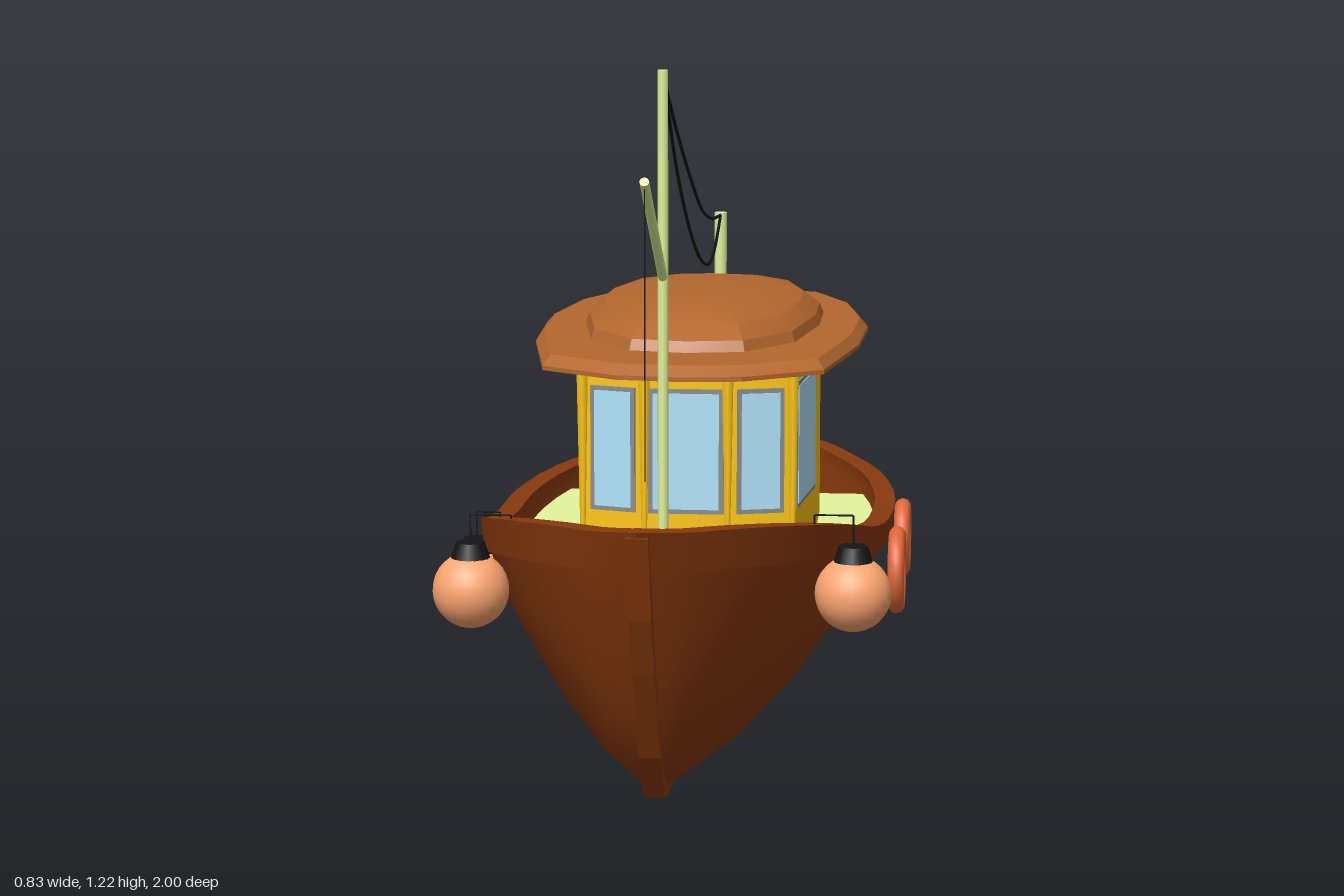
import * as THREE from 'three';
import { toCreasedNormals } from 'three/addons/utils/BufferGeometryUtils.js';

const V = (x, y, z) => new THREE.Vector3(x, y, z);
const BROWN = 0x8a3a0e, GREEN = 0xe4f59c, YELLOW = 0xffc814, ROOF = 0xb4682f;
const OLIVE = 0xa2a23c, GLASS = 0xb2e4fa, FRAME = 0x8a8f8c, BLACK = 0x151515;

// Skin over closed rings, with optional fans closing the first and last ring
function loft(rings, capStart, capEnd, crease = 0.6) {
  const n = rings[0].length, pos = rings.flat().flatMap(p => [p.x, p.y, p.z]), idx = [];
  for (let r = 0; r < rings.length - 1; r++) {
    for (let j = 0; j < n; j++) {
      const k = (j + 1) % n, a = r * n, b = a + n;
      idx.push(a + j, b + j, a + k, b + j, b + k, a + k);
    }
  }
  const cap = (r, top) => {
    const c = rings[r].reduce((s, p) => s.add(p), V(0, 0, 0)).divideScalar(n);
    const ci = pos.length / 3;
    pos.push(c.x, c.y, c.z);
    for (let j = 0; j < n; j++) {
      const k = (j + 1) % n;
      if (top) idx.push(ci, r * n + k, r * n + j);
      else idx.push(ci, r * n + j, r * n + k);
    }
  };
  if (capStart) cap(0, false);
  if (capEnd) cap(rings.length - 1, true);
  const g = new THREE.BufferGeometry();
  g.setAttribute('position', new THREE.Float32BufferAttribute(pos, 3));
  g.setIndex(idx);
  return toCreasedNormals(g, crease);
}

// Complete a right-hand outline (stern to bow) with its mirror image
const mirrored = half => half.concat(
  half.filter(p => Math.abs(p[0]) > 1e-4).reverse().map(([x, z]) => [-x, z]));

// Rail line: half width, height, z from stern to bow
const rail = new THREE.CatmullRomCurve3([
  V(0, .33, -1), V(.105, .328, -.97), V(.195, .325, -.88), V(.255, .325, -.75), V(.32, .33, -.55),
  V(.36, .337, -.28), V(.36, .35, 0), V(.345, .39, .27), V(.315, .445, .52), V(.252, .484, .72),
  V(.157, .508, .87), V(.07, .518, .96), V(0, .525, 1)]);
const N = 30, KEEL_Y = .02, DECK_Y = .288;
const half = Array.from({ length: N + 1 }, (_, i) => {
  const p = rail.getPoint(i / N), t = rail.getTangent(i / N);
  const len = Math.hypot(t.x, t.z);
  const end = i === 0 ? -1 : i === N ? 1 : 0;
  return { p, nx: end ? 0 : t.z / len, nz: end || -t.x / len, side: 1 };
});
const stations = half.concat(half.slice(1, N).reverse().map(s => ({ ...s, side: -1 })));

// Half width of a hull section against height, both 0..1
const SECTION = [[0, 0], [.03, .28], [.12, .47], [.3, .66], [.48, .79], [.66, .91], [.86, .985], [1, 1]];
function fullness(v) {
  const i = Math.max(1, SECTION.findIndex(s => s[0] >= v - 1e-6));
  const [a, b] = [SECTION[i - 1], SECTION[i]];
  return a[1] + (b[1] - a[1]) * (v - a[0]) / (b[0] - a[0]);
}
// The stem rakes forward; the bow is fuller away from the centre line
function hullPoint({ p, nx, nz, side }, v, inset) {
  const keelZ = p.z * .71, rake = .7 - .25 * Math.min(1, p.x / .15);
  const g = Math.pow(v, p.z > 0 ? rake : .35);
  const x = Math.max(0, p.x * fullness(v) - nx * inset);
  return V(side * x, KEEL_Y + (p.y - KEEL_Y) * v, keelZ + (p.z - keelZ) * g - nz * inset);
}
const ringAt = (v, inset) => stations.map(s => hullPoint(s, v, inset));
const ringAtY = (y, inset) => stations.map(s => hullPoint(s, (y - KEEL_Y) / (s.p.y - KEEL_Y), inset));

export function createModel() {
  const model = new THREE.Group();
  model.name = 'boat';
  const body = new THREE.Group();
  body.name = 'boatBody';
  body.position.x = .02;
  model.add(body);

  const add = (name, geo, color, parent = body) => {
    const mesh = new THREE.Mesh(geo, new THREE.MeshStandardMaterial({ color }));
    mesh.name = name;
    parent.add(mesh);
    return mesh;
  };
  const box = (name, w, h, d, x, y, z, color, parent) => {
    add(name, new THREE.BoxGeometry(w, h, d), color, parent).position.set(x, y, z);
  };
  const rod = (name, a, b, r, color, sides = 8) => {
    const m = add(name, new THREE.CylinderGeometry(r, r, a.distanceTo(b), sides), color);
    m.position.copy(a).lerp(b, .5);
    m.quaternion.setFromUnitVectors(V(0, 1, 0), b.clone().sub(a).normalize());
  };

  // Hull: outer planking, raised rail strake, then the inside of the bulwark
  add('hull', loft([
    ...SECTION.slice(0, 7).map(s => ringAt(s[0], .01)),
    ringAt(.86, 0), ringAt(1, 0), ringAt(1, .038),
    ringAtY(DECK_Y, .03), ringAtY(.17, .025)]), BROWN);

  // Stem and keel strip
  const keel = new THREE.Shape([
    [1, .515], [.948, .37], [.897, .27], [.8, .105], [.72, .015], [.6, 0], [-.7, 0], [-.9, .1],
    [-.966, .24], [-.94, .24], [-.86, .1], [-.7, .035], [.66, .035], [.76, .13], [.85, .27],
    [.92, .4], [.97, .515]].map(p => new THREE.Vector2(...p)));
  add('keel', new THREE.ExtrudeGeometry(keel, { depth: .036, bevelEnabled: false })
    .rotateY(-Math.PI / 2).translate(.018, 0, 0), BROWN);

  // Decks: low well at the stern, raised main deck ahead of it
  add('sternDeck', loft([ringAtY(.172, .022), ringAtY(.185, .022)], false, true), GREEN);
  const clampZ = ring => ring.map(p => V(p.x, p.y, THREE.MathUtils.clamp(p.z, -.525, .87)));
  add('mainDeck', loft([clampZ(ringAtY(.18, .024)), clampZ(ringAtY(DECK_Y, .027))], false, true), GREEN);
  box('upperStep', .16, .12, .09, 0, .235, -.64, OLIVE);
  box('lowerStep', .18, .06, .14, 0, .205, -.66, OLIVE);

  // Cabin walls
  const cabin = new THREE.Group();
  cabin.name = 'cabin';
  body.add(cabin);
  const wall = [[.09, -.595], [.185, -.525], [.213, -.35], [.216, -.15], [.19, .108], [.075, .142]];
  const outline = (pts, y, s = 1, cz = -.2) => mirrored(pts).map(([x, z]) => V(x * s, y, cz + (z - cz) * s));
  add('cabinWalls', loft([outline(wall, .18), outline(wall, .66)], false, true, .3), YELLOW, cabin);

  // Windows set on the flat wall panels between two outline points
  const pane = (name, a, b, share, y0, y1) => {
    const g = new THREE.Group();
    g.name = name;
    const dx = b[0] - a[0], dz = b[1] - a[1], w = Math.hypot(dx, dz) * share, h = y1 - y0;
    g.position.set((a[0] + b[0]) / 2, (y0 + y1) / 2, (a[1] + b[1]) / 2);
    g.rotation.y = Math.atan2(dz, -dx);
    box('frame', w, h, .008, 0, 0, 0, FRAME, g);
    box('glass', w - .016, h - .016, .011, 0, 0, 0, GLASS, g);
    cabin.add(g);
  };
  const flip = ([x, z]) => [-x, z];
  pane('frontWindow', wall[5], flip(wall[5]), .9, .38, .607);
  pane('leftFrontWindow', wall[4], wall[5], .72, .38, .607);
  pane('rightFrontWindow', flip(wall[5]), flip(wall[4]), .72, .38, .607);
  pane('leftSideWindow', wall[3], wall[4], .79, .38, .612);
  pane('rightSideWindow', flip(wall[4]), flip(wall[3]), .79, .38, .612);

  // Slim posts between the front windows, wider at the top
  for (const s of [-1, 1]) {
    for (const [x, z] of [wall[4], wall[5]]) {
      const post = add('windowPost', new THREE.CylinderGeometry(.012, .005, .34, 6), YELLOW, cabin);
      post.position.set(s * x, .485, z);
    }
  }

  // Door at the back of the cabin
  box('doorFrame', .13, .325, .012, 0, .46, -.596, FRAME, cabin);
  box('doorPanel', .11, .14, .016, 0, .375, -.597, 0xc8b698, cabin);
  box('doorGlass', .11, .155, .016, 0, .535, -.597, GLASS, cabin);

  // Roof: eave plate with a low crown on top
  const eave = [[0, -.69], [.09, -.685], [.2, -.645], [.27, -.5], [.305, -.3], [.298, -.08],
    [.25, .205], [.11, .295], [0, .308]];
  add('roofEaves', loft([outline(eave, .648), outline(eave, .656), outline(eave, .673, .95)],
    true, true, .4), ROOF);
  const crown = [[0, -.61], [.09, -.595], [.165, -.52], [.21, -.36], [.212, -.2], [.18, .0],
    [.1, .115], [0, .135]];
  add('roofCrown', loft([outline(crown, .67, 1.04), outline(crown, .692), outline(crown, .717, .86),
    outline(crown, .735, .56)], false, true, .35), ROOF);

  // Mast, boom, aft post and sagging lines
  rod('mast', V(0, .28, .565), V(0, 1.215, .565), .009, GREEN);
  rod('boom', V(0, .87, .57), V(0, 1.065, .87), .008, GREEN);
  rod('aftPost', V(0, .66, -.615), V(0, .83, -.615), .012, GREEN);
  rod('boomLine', V(0, .58, .865), V(0, 1.06, .865), .001, BLACK, 4);
  const sags = [
    [[.56, 1.205], [.3, 1.08], [0, .955], [-.2, .885], [-.4, .845], [-.61, .825]],
    [[.56, 1.205], [.3, 1.01], [0, .855], [-.25, .778], [-.4, .765], [-.5, .785], [-.61, .825]]];
  for (const pts of sags) {
    const path = new THREE.CatmullRomCurve3(pts.map(([z, y]) => V(0, y, z)));
    add('rigging', new THREE.TubeGeometry(path, 24, .003, 5), BLACK);
  }

  // Ball fenders with dark caps, each tied in to the rail
  for (const [x, y, z, top, inX] of [
    [-.308, .36, .7, .487, -.24], [.325, .355, .65, .487, .26], [-.373, .257, .185, .385, -.33]]) {
    add('fenderBall', new THREE.SphereGeometry(.064, 24, 16), 0xffa672).position.set(x, y, z);
    add('fenderCap', new THREE.CylinderGeometry(.024, .034, .03, 16), BLACK).position.set(x, y + .066, z);
    rod('fenderRope', V(x, y + .07, z), V(x, top, z), .0015, BLACK, 4);
    rod('fenderRope', V(x, top, z), V(inX, top, z), .0015, BLACK, 4);
    rod('fenderRope', V(inX, top, z), V(inX, top - .04, z), .0015, BLACK, 4);
  }

  // Ring fenders on the left side
  for (const [z, r] of [[.043, .064], [-.243, .058]]) {
    const ring = add('ringFender', new THREE.TorusGeometry(r, .0155, 10, 28), 0xe4683c);
    ring.rotation.y = Math.PI / 2;
    ring.position.set(.376, .263, z);
  }
  return model;
}
